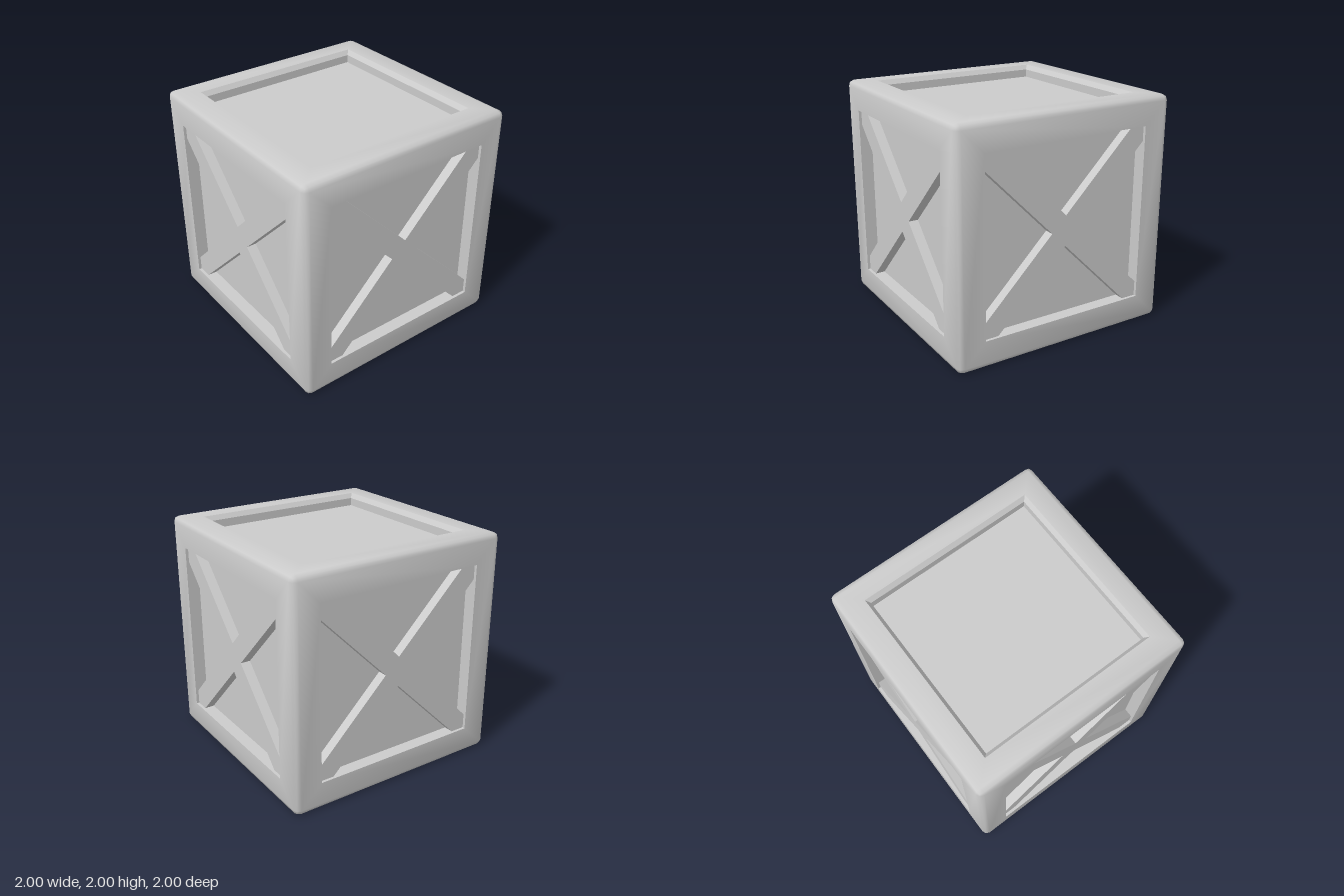
import * as THREE from 'three';

const OPEN = 0.76;   // half size of each frame opening
const FLAT = 0.95;   // half size of the flat part of a face
const PANEL = 0.89;  // distance of the recessed panels from the centre

// Joins square loops of points into a surface
function loft(loops) {
  const n = loops[0].length, index = [];
  for (let l = 0; l < loops.length - 1; l++) {
    for (let i = 0; i < n; i++) {
      const a = l * n + i, a2 = l * n + (i + 1) % n;
      index.push(a, a + n, a2 + n, a, a2 + n, a2);
    }
  }
  const geo = new THREE.BufferGeometry();
  geo.setAttribute('position', new THREE.Float32BufferAttribute(loops.flat(2), 3));
  geo.setIndex(index);
  return geo;
}

// Repeats the points of one corner around the four corners
function square(corner) {
  const loop = [];
  for (let k = 0; k < 4; k++) {
    const c = [1, 0, -1, 0][k], s = [0, 1, 0, -1][k];
    for (const [x, y, z] of corner) loop.push([c * x - s * y, s * x + c * y, z]);
  }
  return loop;
}

// Face of the frame with softly shaded, rounded outer edges
function frameFace(open) {
  const b = 0.05, e = FLAT + b / Math.SQRT2, c = FLAT + b / Math.sqrt(3);
  const three = (p) => [p, p, p];
  const geo = loft([
    square(three([open, open, 1])),
    square(three([FLAT, FLAT, 1])),
    square([[e, FLAT, e], [c, c, c], [FLAT, e, e]]),
  ]);
  const t = 0.2;
  const normals = [
    square(three([0, 0, 1])),
    square(three([t, t, 1])),
    square([[1, t, 1], [1, 1, 1], [t, 1, 1]]),
  ];
  geo.setAttribute('normal', new THREE.Float32BufferAttribute(normals.flat(2), 3));
  geo.normalizeNormals();
  return geo;
}

// Inner walls of an opening, flared at the rim where the opening is wider
function openingWalls(open) {
  const corners = [[OPEN, OPEN, PANEL], [OPEN, OPEN, 0.96], [open, open, 1]];
  const geo = loft(corners.map((p) => square([p]))).toNonIndexed();
  geo.computeVertexNormals();
  return geo;
}

// Diagonal cross, cut to fit the opening
function crossBrace() {
  const m = 0.13, c = OPEN - m;
  const outline = square([[OPEN, c], [OPEN, OPEN], [c, OPEN], [0, m]]);
  const shape = new THREE.Shape(outline.map(([x, y]) => new THREE.Vector2(x, y)));
  const geo = new THREE.ExtrudeGeometry(shape, { depth: 0.095, bevelEnabled: false });
  return geo.translate(0, 0, 0.88);
}

export function createModel() {
  const model = new THREE.Group();
  model.name = 'crate';
  const material = new THREE.MeshStandardMaterial({ color: 0xcccccc });
  const add = (parent, name, geo) => {
    const mesh = new THREE.Mesh(geo, material);
    mesh.name = name;
    parent.add(mesh);
  };

  // Core whose six faces are the recessed panels
  add(model, 'panels', new THREE.BoxGeometry(2 * PANEL, 2 * PANEL, 2 * PANEL));

  const q = Math.PI / 2;
  const sides = [
    ['front', 0, 0], ['left', 0, q], ['back', 0, 2 * q], ['right', 0, -q],
    ['top', -q, 0], ['bottom', q, 0],
  ];
  for (const [name, rx, ry] of sides) {
    const side = new THREE.Group();
    side.name = name + 'Side';
    side.rotation.set(rx, ry, 0);
    const open = name === 'top' ? 0.79 : OPEN;
    add(side, name + 'Frame', frameFace(open));
    add(side, name + 'OpeningWalls', openingWalls(open));
    if (rx === 0) add(side, name + 'CrossBrace', crossBrace());
    model.add(side);
  }

  model.position.y = 1;
  const root = new THREE.Group();
  root.add(model);
  return root;
}
